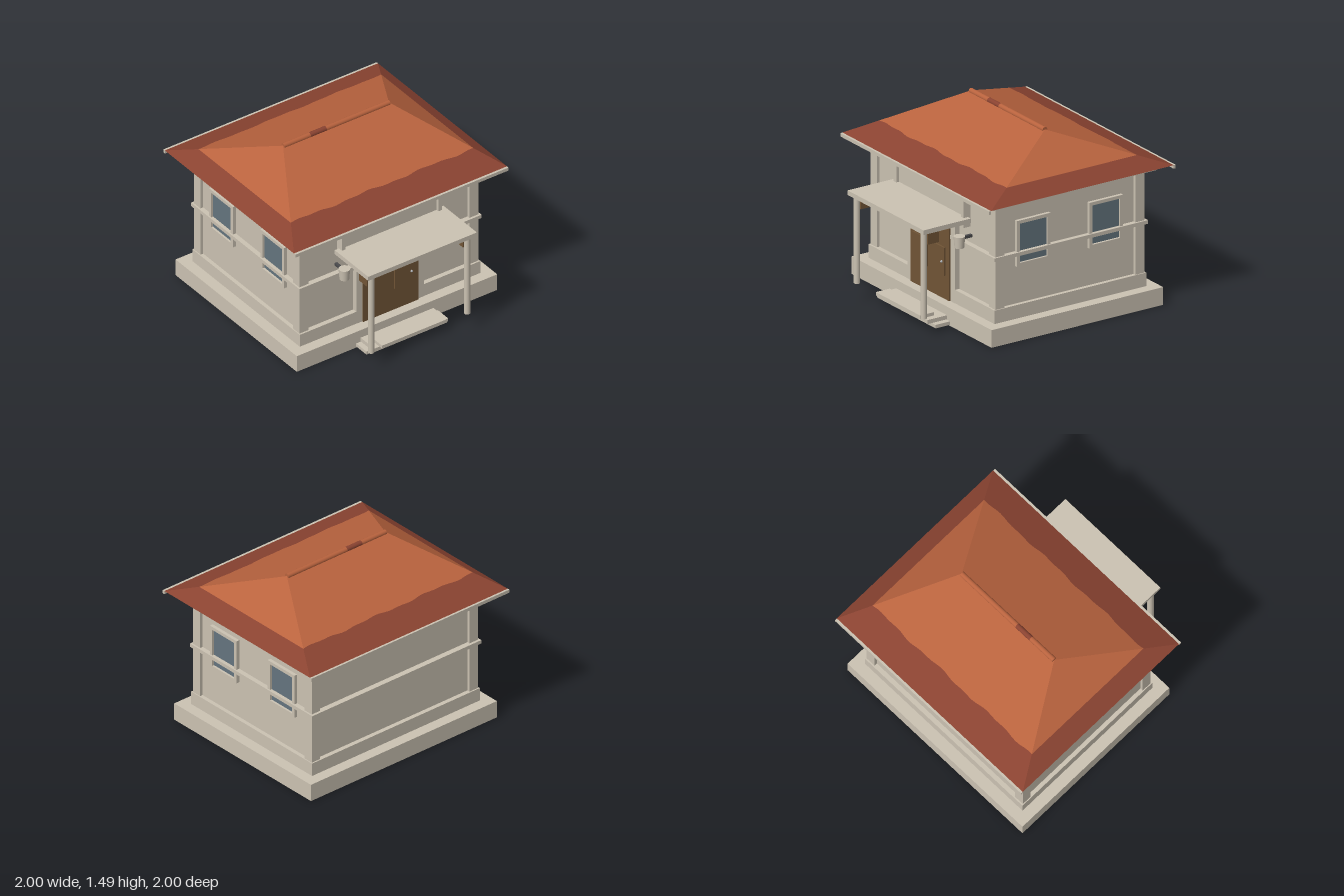
import * as THREE from 'three';

const mat = (name, color, side = THREE.FrontSide) => {
  const m = new THREE.MeshStandardMaterial({ color, side });
  m.name = name;
  return m;
};

export function createModel() {
  const house = new THREE.Group();
  house.name = 'house';
  const stone = mat('cream stone', 0xcbc2b2);
  const tile = mat('terracotta tile', 0xb9633e, THREE.DoubleSide);
  const darkTile = mat('weathered tile', 0x8a4331, THREE.DoubleSide);
  const wood = mat('brown wood', 0x715536);
  const glass = mat('window glass', 0x64747e);
  const iron = mat('dark iron', 0x4a4a4c);
  const metal = mat('pale metal', 0xb0b4b8);

  const add = (name, geo, material, parent = house) => {
    const m = new THREE.Mesh(geo, material);
    m.name = name;
    parent.add(m);
    return m;
  };
  // Box given by its limits on each axis
  const box = (name, x0, x1, y0, y1, z0, z1, material = stone, parent = house) => {
    const g = new THREE.BoxGeometry(x1 - x0, y1 - y0, z1 - z0);
    g.translate((x0 + x1) / 2, (y0 + y1) / 2, (z0 + z1) / 2);
    return add(name, g, material, parent);
  };
  const cylinder = (name, rTop, rBottom, y0, y1, x, z, material = stone) => {
    const g = new THREE.CylinderGeometry(rTop, rBottom, y1 - y0, 24);
    g.translate(x, (y0 + y1) / 2, z);
    return add(name, g, material);
  };
  // Rectangular ring in the xy plane, growing along +z
  const frame = (w, h, border, depth) => {
    const rect = (P, a, b) => {
      const p = new P();
      p.moveTo(-a, -b);
      p.lineTo(a, -b);
      p.lineTo(a, b);
      p.lineTo(-a, b);
      p.closePath();
      return p;
    };
    const s = rect(THREE.Shape, w / 2, h / 2);
    s.holes.push(rect(THREE.Path, w / 2 - border, h / 2 - border));
    return new THREE.ExtrudeGeometry(s, { depth, bevelEnabled: false });
  };

  // Foundation, walls and horizontal trim
  box('foundation', -0.94, 0.94, 0, 0.145, -0.925, 0.665);
  box('walls', -0.815, 0.815, 0.14, 1.12, -0.795, 0.535);
  box('plinth', -0.848, 0.848, 0.145, 0.255, -0.832, 0.575);
  box('wallBand', -0.855, 0.855, 0.655, 0.685, -0.842, 0.58);
  box('cornice', -0.905, 0.905, 1.1, 1.145, -0.885, 0.628);
  for (const s of [-1, 1]) {
    const a = s > 0 ? 0.755 : -0.84;
    box('frontCornerPost', a, a + 0.085, 0.145, 1.11, 0.478, 0.56);
    box('backCornerPost', a, a + 0.085, 0.145, 1.11, -0.82, -0.737);
  }

  // Side windows
  for (const s of [-1, 1]) {
    for (const z of [0.207, -0.465]) {
      const win = new THREE.Group();
      win.name = 'window';
      win.position.set(s * 0.81, 0.752, z);
      win.rotation.y = s * Math.PI / 2;
      add('windowFrame', frame(0.31, 0.375, 0.027, 0.033), stone, win);
      box('windowPane', -0.13, 0.13, -0.162, 0.162, 0.008, 0.015, glass, win);
      house.add(win);
    }
  }

  // Door with jambs, raised panels and knob
  for (const s of [-1, 1]) {
    const a = s > 0 ? 0.25 : -0.318;
    box('doorJamb', a, a + 0.068, 0.145, 0.785, 0.53, 0.577);
  }
  box('door', -0.262, 0.257, 0.145, 0.792, 0.53, 0.588, wood);
  for (const x of [-0.122, 0.118]) {
    box('doorPanel', x - 0.092, x + 0.092, 0.34, 0.57, 0.58, 0.602, wood);
  }
  const knob = add('doorKnob', new THREE.SphereGeometry(0.01, 12, 8), metal);
  knob.position.set(0.18, 0.45, 0.606);

  // Raised panel above the door
  const header = add('headerFrame', frame(0.94, 0.255, 0.035, 0.07), stone);
  header.position.set(0, 0.943, 0.53);
  box('headerPanel', -0.44, 0.44, 0.82, 1.04, 0.53, 0.575);

  // Porch canopy on columns with brackets
  box('canopy', -0.51, 0.51, 0.86, 0.898, 0.56, 1);
  for (const s of [-1, 1]) {
    const x = s * 0.45;
    cylinder('porchColumn', 0.025, 0.025, 0.15, 0.865, x, 0.955);
    box('canopyBracket', x - 0.025, x + 0.025, 0.755, 0.862, 0.83, 0.935, wood);
    // Wall lamp
    cylinder('wallLamp', 0.045, 0.038, 0.672, 0.765, s * 0.482, 0.648);
    box('lampArm', s * 0.482 - 0.012, s * 0.482 + 0.012, 0.735, 0.757, 0.53, 0.62, iron);
  }

  // Entrance steps
  box('lowerStep', -0.383, 0.383, 0.01, 0.038, 0.66, 0.8);
  box('middleStep', -0.342, 0.342, 0.042, 0.075, 0.66, 0.845);
  box('upperStep', -0.298, 0.298, 0.08, 0.107, 0.755, 0.885);

  // Hipped roof: each slope is split into a weathered lower strip and a tiled upper part
  const eaveY = 1.15, ridgeY = 1.47, ridgeX = 0.497, ridgeZ = -0.135;
  const V = (x, y, z) => new THREE.Vector3(x, y, z);
  const strip = (name, a, b, c, d, low, high, n, material) => {
    const pos = [], idx = [];
    for (let i = 0; i <= n; i++) {
      const u = i / n;
      const e = a.clone().lerp(b, u), r = d.clone().lerp(c, u);
      pos.push(...e.clone().lerp(r, low(u)).toArray(), ...e.clone().lerp(r, high(u)).toArray());
      if (i < n) {
        const k = i * 2;
        idx.push(k, k + 2, k + 3, k, k + 3, k + 1);
      }
    }
    const g = new THREE.BufferGeometry();
    g.setAttribute('position', new THREE.Float32BufferAttribute(pos, 3));
    g.setIndex(idx);
    const flat = g.toNonIndexed();
    flat.computeVertexNormals();
    add(name, flat, material);
  };
  const slope = (name, a, b, c, d, wavy) => {
    const edge = u => 0.285 + (wavy ? 0.008 * Math.sin(u * 19) + 0.005 * Math.sin(u * 47) : 0);
    const n = wavy ? 40 : 1;
    strip(name + 'Eave', a, b, c, d, () => 0, edge, n, darkTile);
    strip(name + 'Tiles', a, b, c, d, edge, () => 1, n, tile);
  };
  const fl = V(-1, eaveY, 0.71), fr = V(1, eaveY, 0.71);
  const bl = V(-1, eaveY, -0.982), br = V(1, eaveY, -0.982);
  const rl = V(-ridgeX, ridgeY, ridgeZ), rr = V(ridgeX, ridgeY, ridgeZ);
  slope('frontRoof', fl, fr, rr, rl, true);
  slope('backRoof', br, bl, rl, rr, true);
  slope('leftRoof', fr, br, rr, rr, false);
  slope('rightRoof', bl, fl, rl, rl, false);

  // Ridge cap with one weathered piece
  for (const [x0, x1, m] of [[-ridgeX, -0.25, tile], [-0.25, -0.1, darkTile], [-0.1, ridgeX, tile]]) {
    const g = new THREE.CylinderGeometry(0.022, 0.022, x1 - x0, 16);
    g.rotateZ(Math.PI / 2);
    g.translate((x0 + x1) / 2, ridgeY - 0.002, ridgeZ);
    add('ridgeCap', g, m);
  }

  // Gutters along the front and back eaves
  box('frontGutter', -1, 1, 1.122, 1.15, 0.71, 0.73);
  box('backGutter', -1, 1, 1.122, 1.15, -1, -0.98);

  return house;
}
